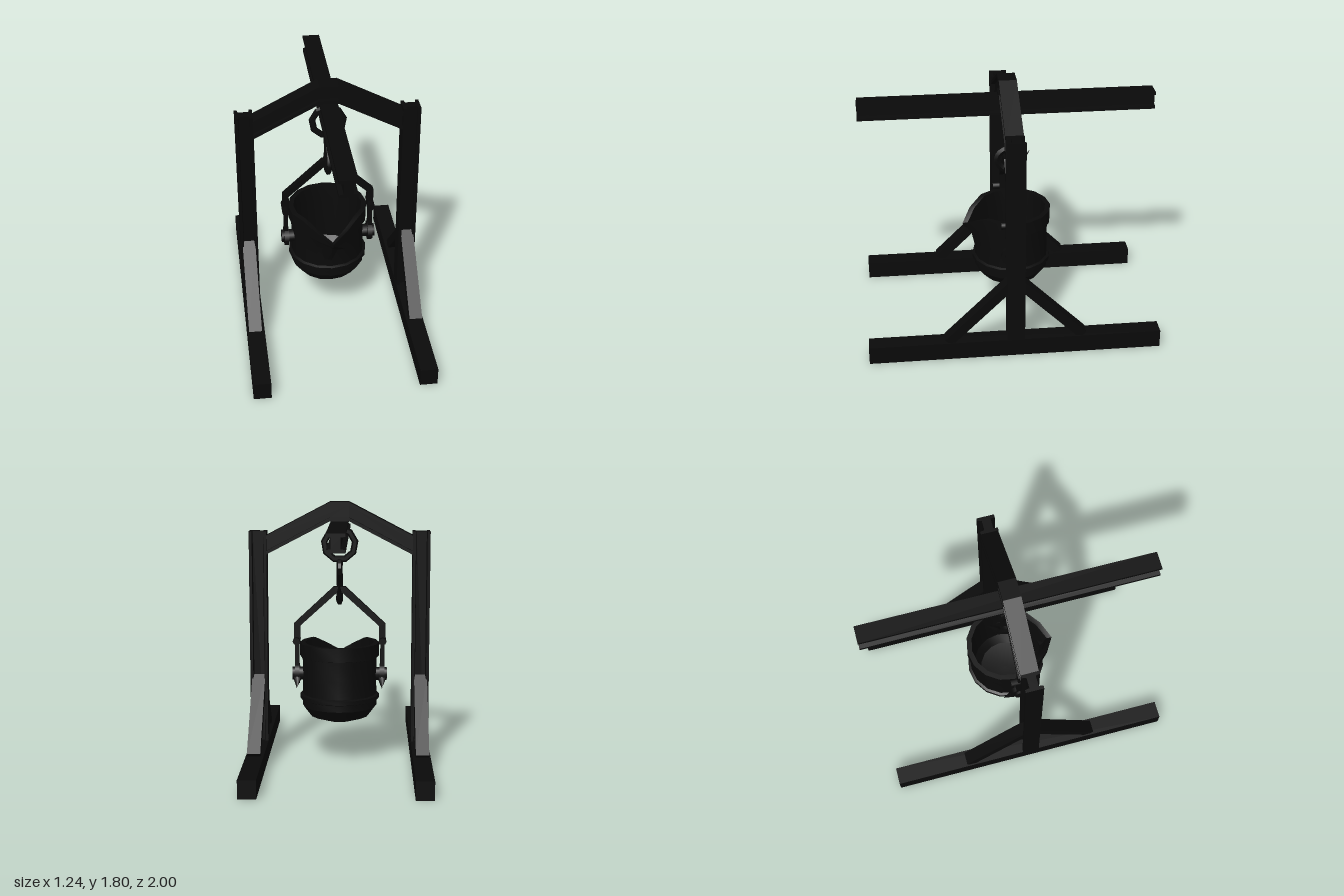
import * as THREE from 'three';
import { toCreasedNormals } from 'three/addons/utils/BufferGeometryUtils.js';

const iron = new THREE.MeshStandardMaterial({ color: 0x0a0a0a, side: THREE.DoubleSide });

export function createModel() {
  const model = new THREE.Group();

  function add(name, geometry, x = 0, y = 0, z = 0) {
    const mesh = new THREE.Mesh(geometry, iron);
    mesh.name = name;
    mesh.position.set(x, y, z);
    model.add(mesh);
    return mesh;
  }
  const box = (w, h, d) => new THREE.BoxGeometry(w, h, d);
  // Extrudes an outline, centred on z
  function slab(points, depth) {
    const shape = new THREE.Shape(points.map(([x, y]) => new THREE.Vector2(x, y)));
    return new THREE.ExtrudeGeometry(shape, { depth, bevelEnabled: false }).translate(0, 0, -depth / 2);
  }
  const mirrored = (points) => [...points, ...points.map(([x, y]) => [-x, y]).reverse()];
  // I-section running along z, with flanges at top and bottom
  function iBeam(length) {
    const half = [[0.03, -0.035], [0.06, -0.04], [0.06, -0.06]].reverse();
    const upper = half.map(([x, y]) => [x, -y]).reverse();
    return slab(mirrored([...half, ...upper]), length);
  }

  // Overhead rail
  add('overheadRail', iBeam(2), 0, 1.61, 0);

  // Side frames: floor beam, upright and two diagonal braces
  for (const s of [1, -1]) {
    const side = s > 0 ? 'left' : 'right';
    add(side + 'FloorBeam', box(0.12, 0.125, 2), s * 0.56, 0.0625, 0);
    const post = iBeam(1.48).rotateX(-Math.PI / 2).rotateY(Math.PI / 2);
    add(side + 'Post', post, s * 0.562, 0.86, 0);
    for (const f of [1, -1]) {
      const brace = add(side + 'Brace', box(0.09, 0.064, 0.64), s * 0.565, 0.35, f * 0.235);
      brace.rotation.x = f * Math.PI / 4;
    }
  }

  // Bent cross beam: top flange, web and bottom flange
  const bent = (top, bottom) => mirrored([
    [0.065, 1.8 - top], [0.505, 1.57 - top], [0.505, 1.57 - bottom], [0.065, 1.8 - bottom],
  ]);
  add('crossBeamTopFlange', slab(bent(0, 0.025), 0.12));
  add('crossBeamWeb', slab(bent(0.02, 0.11), 0.06));
  add('crossBeamBottomFlange', slab(bent(0.105, 0.13), 0.12));

  // Suspension ring
  add('ring', toCreasedNormals(new THREE.TorusGeometry(0.108, 0.023, 6, 9), 0.5), 0, 1.508, 0)
    .rotation.z = Math.PI / 2;

  // S-shaped hook with a tapered tip
  const path = new THREE.CatmullRomCurve3([
    [0.01, 1.39], [-0.035, 1.375], [-0.052, 1.33], [-0.015, 1.285], [0.04, 1.255], [0.068, 1.205],
    [0.04, 1.14], [-0.02, 1.115], [-0.08, 1.135], [-0.108, 1.19], [-0.155, 1.25],
  ].map(([z, y]) => new THREE.Vector3(0, y, z)));
  const rings = 22, sides = 6;
  const hook = new THREE.TubeGeometry(path, rings, 0.026, sides);
  const pos = hook.attributes.position;
  const v = new THREE.Vector3();
  for (let i = 0; i < pos.count; i++) {
    const t = Math.floor(i / (sides + 1)) / rings;
    const center = path.getPointAt(t);
    v.fromBufferAttribute(pos, i).sub(center);
    v.x *= 0.85;
    v.multiplyScalar(Math.min(1, (1 - t) * 5 + 0.08)).add(center);
    pos.setXYZ(i, v.x, v.y, v.z);
  }
  add('hook', toCreasedNormals(hook, 0.5));

  // Bail handle
  add('bail', slab(mirrored([
    [0.022, 1.17], [0.275, 0.94], [0.275, 0.81], [0.318, 0.81], [0.318, 0.955], [0.04, 1.215],
  ].reverse()), 0.045));

  // Hinge pins, straps, trunnions and clamp spikes on both sides of the pot
  for (const s of [1, -1]) {
    const side = s > 0 ? 'left' : 'right';
    add(side + 'HingePin', new THREE.CylinderGeometry(0.025, 0.025, 0.14, 8).rotateX(Math.PI / 2), s * 0.3, 0.837, 0);
    add(side + 'Strap', box(0.028, 0.26, 0.06), s * 0.298, 0.715, 0);
    add(side + 'Trunnion', new THREE.CylinderGeometry(0.046, 0.046, 0.1, 10).rotateZ(Math.PI / 2), s * 0.28, 0.6, 0);
    add(side + 'TrunnionCollar', new THREE.CylinderGeometry(0.07, 0.07, 0.032, 10).rotateZ(Math.PI / 2), s * 0.296, 0.6, 0);
    const spike = add(side + 'ClampSpike', new THREE.ConeGeometry(0.028, 0.09, 6), s * 0.295, 0.545, -0.083);
    spike.rotation.x = -Math.PI * 0.7;
  }

  // Pot: turned profile, then the front of the rim pulled out and down into a spout
  const profile = [
    [0, 0.275], [0.1, 0.28], [0.205, 0.315], [0.258, 0.385], [0.258, 0.43],
    [0.276, 0.437], [0.276, 0.465], [0.258, 0.472], [0.255, 0.6], [0.258, 0.73], [0.275, 0.735],
    [0.275, 0.83], [0.24, 0.83], [0.235, 0.73], [0.23, 0.4], [0.18, 0.34], [0, 0.32],
  ].map(([r, y]) => new THREE.Vector2(r, y));
  const pot = new THREE.LatheGeometry(profile, 16);
  const p = pot.attributes.position;
  for (let i = 0; i < p.count; i++) {
    const x = p.getX(i), y = p.getY(i), z = p.getZ(i);
    if (y < 0.7) continue;
    const angle = Math.abs(Math.atan2(x, z));
    const w = Math.max(0, 1 - angle / (Math.PI / 4)) ** 1.2;
    const lip = (y - 0.73) / 0.1;
    p.setXYZ(i, x, y - w * (0.05 + 0.07 * lip), z + w * (0.055 + 0.012 * lip));
  }
  add('pot', toCreasedNormals(pot, 0.5), 0, 0, -0.03);

  return model;
}
